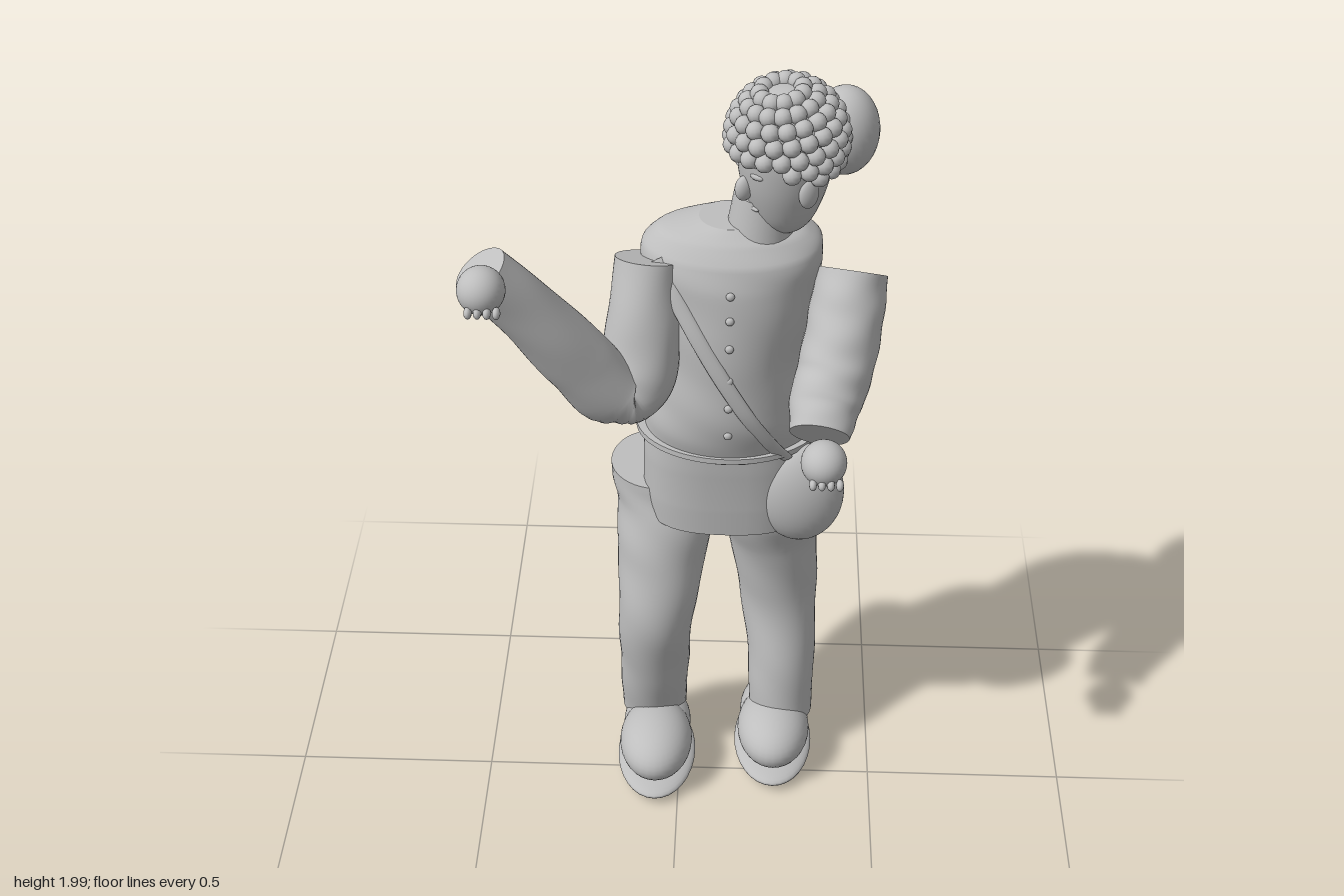
import * as THREE from 'three';

const grey = new THREE.MeshStandardMaterial({ color: 0xbebebe });
grey.name = 'clay grey';

function add(parent, name, geometry, pos = [0, 0, 0], scale = [1, 1, 1], rot = [0, 0, 0]) {
  const mesh = new THREE.Mesh(geometry, grey);
  mesh.name = name;
  mesh.position.set(...pos);
  mesh.scale.set(...scale);
  mesh.rotation.set(...rot);
  parent.add(mesh);
}

const ball = new THREE.SphereGeometry(1, 32, 20);
const smallBall = new THREE.SphereGeometry(1, 12, 8);

// Skin over rows of [x, y, z, ru, rv]; rings lie flat, or square to the path when follow is set.
// power squares the whole ring, corner squares only its back left quarter
function loft(rows, { follow = false, power = 1, corner = power, steps = 40, sides = 40, wrinkle = 0 } = {}) {
  const path = new THREE.CatmullRomCurve3(rows.map(r => new THREE.Vector3(r[0], r[1], r[2])));
  const radii = new THREE.CatmullRomCurve3(rows.map(r => new THREE.Vector3(r[3], r[4], 0)));
  const pos = [], idx = [], rings = [];
  const soft = (n, p) => Math.sign(n) * Math.abs(n) ** p;
  for (let i = 0; i <= steps; i++) {
    const k = i / steps, c = path.getPoint(k), r = radii.getPoint(k);
    const t = follow ? path.getTangent(k) : new THREE.Vector3(0, 1, 0);
    const u = follow ? new THREE.Vector3(1, 0, 0).cross(t).normalize() : new THREE.Vector3(1, 0, 0);
    const v = t.clone().cross(u);
    const ring = [];
    for (let j = 0; j < sides; j++) {
      const a = (j / sides) * Math.PI * 2, p = a < Math.PI / 2 ? corner : power;
      const w = 1 + wrinkle * Math.sin(k * 28 + 2 * Math.sin(a + 1)) * Math.sin(a * 2 + k * 5);
      ring.push(c.clone().addScaledVector(u, soft(Math.cos(a), p) * r.x * w).addScaledVector(v, soft(Math.sin(a), p) * r.y * w));
    }
    rings.push(ring);
    ring.forEach(q => pos.push(q.x, q.y, q.z));
  }
  for (let i = 0; i < steps; i++) for (let j = 0; j < sides; j++) {
    const n = (j + 1) % sides, a = i * sides + j, b = i * sides + n;
    idx.push(a, b, b + sides, a, b + sides, a + sides);
  }
  // Flat end caps with their own vertices
  for (const end of [0, steps]) {
    const c = path.getPoint(end / steps), base = pos.length / 3;
    pos.push(c.x, c.y, c.z);
    rings[end].forEach(q => pos.push(q.x, q.y, q.z));
    for (let j = 0; j < sides; j++) {
      const a = base + 1 + j, b = base + 1 + (j + 1) % sides;
      idx.push(base, ...(end ? [a, b] : [b, a]));
    }
  }
  const g = new THREE.BufferGeometry();
  g.setAttribute('position', new THREE.Float32BufferAttribute(pos, 3));
  g.setIndex(idx);
  g.computeVertexNormals();
  return g;
}

// Torso rows: height, half width, front z, back z
const CX = 0.115;
const torsoRows = [
  [1.05, 0.205, 0.04, -0.275], [1.12, 0.192, 0.06, -0.262], [1.2, 0.178, 0.07, -0.252],
  [1.3, 0.168, 0.068, -0.258], [1.42, 0.185, 0.062, -0.27], [1.52, 0.203, 0.05, -0.258],
  [1.58, 0.203, 0.03, -0.23], [1.62, 0.165, 0, -0.195], [1.645, 0.075, -0.035, -0.165],
];
const torsoSections = torsoRows.map(([y, rx, f, b]) => [CX, y, (f + b) / 2, rx, (f - b) / 2]);

// Front surface depth of the torso at a point
function torsoFront(x, y) {
  let i = 0;
  while (i < torsoRows.length - 2 && torsoRows[i + 1][0] < y) i++;
  const a = torsoRows[i], b = torsoRows[i + 1], k = (y - a[0]) / (b[0] - a[0]);
  const [rx, f, back] = [1, 2, 3].map(n => a[n] + (b[n] - a[n]) * k);
  const s = Math.min(1, Math.abs((x - CX) / rx));
  return (f + back) / 2 + (f - back) / 2 * Math.sqrt(1 - s * s);
}

function addHand(parent, name, x, y, z) {
  const hand = new THREE.Group();
  hand.name = name;
  hand.position.set(x, y, z);
  add(hand, 'palm', ball, [0, 0, 0], [0.052, 0.052, 0.055]);
  for (let i = 0; i < 4; i++) {
    add(hand, 'finger', smallBall, [-0.024 + i * 0.02, -0.027, 0.047], [0.009, 0.013, 0.015]);
  }
  parent.add(hand);
}

function addShoe(parent, name, x, z) {
  const shoe = new THREE.Group();
  shoe.name = name;
  shoe.position.set(x, 0, z);
  add(shoe, 'upper', ball, [0, 0.11, 0.035], [0.094, 0.078, 0.135]);
  add(shoe, 'heel', ball, [0, 0.098, -0.045], [0.088, 0.068, 0.125]);
  add(shoe, 'sole', ball, [0, 0.033, 0], [0.102, 0.028, 0.178]);
  parent.add(shoe);
}

function addHead(parent) {
  const head = new THREE.Group();
  head.name = 'head';
  head.position.set(0.228, 0, -0.08);
  head.rotation.y = -1.04;
  const profile = [[0, 1.625], [0.034, 1.632], [0.063, 1.66], [0.085, 1.71], [0.101, 1.77],
    [0.108, 1.84], [0.1, 1.91], [0.065, 1.96], [0, 1.975]].map(p => new THREE.Vector2(...p));
  const curve = new THREE.SplineCurve(profile).getPoints(40);
  curve.forEach(p => { p.x = Math.max(0, p.x); });
  add(head, 'face', new THREE.LatheGeometry(curve, 40));

  // Hair tipped slightly forward, with rows of curls cut away over the face
  const hair = new THREE.Group();
  hair.name = 'hair';
  hair.position.set(0.01, 1.86, 0.003);
  hair.rotation.x = 0.16;
  add(hair, 'hairCap', new THREE.SphereGeometry(1, 32, 12, 0, Math.PI * 2, 0, 1.5), [0, 0, 0], [0.117, 0.119, 0.117]);
  for (let row = 0; row < 7; row++) {
    const phi = 0.4 + row * 0.27, count = Math.round(6 + 14 * Math.sin(phi));
    for (let i = 0; i < count; i++) {
      const a = (i + (row % 2) / 2) / count * Math.PI * 2;
      if (row > 4 && Math.cos(a) > (row > 5 ? 0 : 0.5)) continue;
      add(hair, 'curl', smallBall,
        [Math.sin(a) * Math.sin(phi) * 0.121, Math.cos(phi) * 0.122, Math.cos(a) * Math.sin(phi) * 0.121],
        [0.021, 0.021, 0.021]);
    }
  }
  head.add(hair);
  add(head, 'hairBun', ball, [0.005, 1.835, -0.147], [0.077, 0.103, 0.077]);

  add(head, 'nose', ball, [0, 1.755, 0.102], [0.016, 0.03, 0.022]);
  add(head, 'mouth', smallBall, [0, 1.705, 0.081], [0.028, 0.007, 0.008]);
  for (const s of [-1, 1]) {
    add(head, 'ear', ball, [s * 0.102, 1.765, 0], [0.014, 0.036, 0.024]);
    add(head, 'eye', smallBall, [s * 0.04, 1.8, 0.094], [0.018, 0.008, 0.008], [0, s * 0.4, 0]);
    add(head, 'eyebrow', smallBall, [s * 0.042, 1.828, 0.098], [0.023, 0.005, 0.007], [0, s * 0.4, 0]);
  }
  parent.add(head);
}

export function createModel() {
  const model = new THREE.Group();
  model.name = 'figure';

  // Jacket, hem, belt and collar
  add(model, 'jacket', loft(torsoSections, { corner: 0.7, wrinkle: 0.012, steps: 60, sides: 56 }));
  add(model, 'jacketHem', loft([
    [CX, 0.825, -0.125, 0.2, 0.15], [CX, 0.9, -0.127, 0.206, 0.156], [CX, 1.0, -0.125, 0.205, 0.158], [CX, 1.06, -0.12, 0.2, 0.155],
  ], { power: 0.78 }));
  add(model, 'belt', new THREE.CylinderGeometry(1, 1, 0.014, 56), [CX, 1.065, -0.12], [0.222, 1, 0.176], [-0.03, 0, 0]);
  add(model, 'collar', new THREE.CylinderGeometry(0.068, 0.078, 0.11, 32), [0.182, 1.66, -0.09], [1, 1, 1], [0, 0, -0.08]);
  for (const y of [1.525, 1.465, 1.395, 1.31, 1.235, 1.155]) {
    add(model, 'button', smallBall, [CX, y, torsoFront(CX, y) + 0.003], [0.01, 0.01, 0.008]);
  }

  // Shoulder strap laid on the chest, with its bag
  const strapPath = [];
  for (let i = 0; i <= 10; i++) {
    const k = i / 10, x = -0.05 + 0.3 * k, y = 1.575 - 0.525 * k;
    strapPath.push([x, y, torsoFront(x, y) + 0.004, 0.008, 0.019]);
  }
  add(model, 'strap', loft(strapPath, { follow: true, sides: 12 }));
  add(model, 'bag', ball, [0.29, 0.93, -0.02], [0.105, 0.14, 0.064]);

  // Trouser legs
  add(model, 'rightLeg', loft([
    [-0.07, 0.11, -0.145, 0.084, 0.086], [-0.067, 0.3, -0.105, 0.089, 0.098], [-0.06, 0.5, -0.058, 0.094, 0.094],
    [-0.045, 0.68, -0.095, 0.111, 0.108], [-0.038, 0.82, -0.145, 0.122, 0.125], [-0.055, 0.91, -0.165, 0.12, 0.12],
  ], { wrinkle: 0.022 }));
  add(model, 'leftLeg', loft([
    [0.265, 0.13, -0.115, 0.082, 0.08], [0.262, 0.3, -0.145, 0.087, 0.09], [0.248, 0.5, -0.19, 0.1, 0.1],
    [0.23, 0.68, -0.178, 0.112, 0.11], [0.216, 0.82, -0.16, 0.122, 0.128], [0.222, 0.91, -0.175, 0.12, 0.128],
  ], { wrinkle: 0.022 }));
  addShoe(model, 'rightShoe', -0.06, -0.035);
  addShoe(model, 'leftShoe', 0.247, -0.092);

  // Sleeves and hands
  add(model, 'rightSleeve', loft([
    [-0.07, 1.56, -0.05, 0.082, 0.076], [-0.08, 1.42, 0, 0.084, 0.084], [-0.095, 1.31, 0.04, 0.08, 0.09],
    [-0.14, 1.275, 0.072, 0.072, 0.087], [-0.22, 1.385, 0.105, 0.072, 0.083], [-0.32, 1.535, 0.145, 0.066, 0.073],
    [-0.415, 1.665, 0.185, 0.058, 0.066],
  ], { follow: true, wrinkle: 0.02, steps: 60 }));
  add(model, 'leftSleeve', loft([
    [0.388, 1.52, -0.075, 0.09, 0.08], [0.374, 1.425, -0.015, 0.094, 0.086], [0.354, 1.335, 0.05, 0.092, 0.086],
    [0.332, 1.28, 0.11, 0.079, 0.081], [0.322, 1.24, 0.17, 0.06, 0.068],
  ], { follow: true, wrinkle: 0.02 }));
  addHand(model, 'rightHand', -0.408, 1.655, 0.245);
  addHand(model, 'leftHand', 0.332, 1.197, 0.215);

  addHead(model);
  return model;
}
